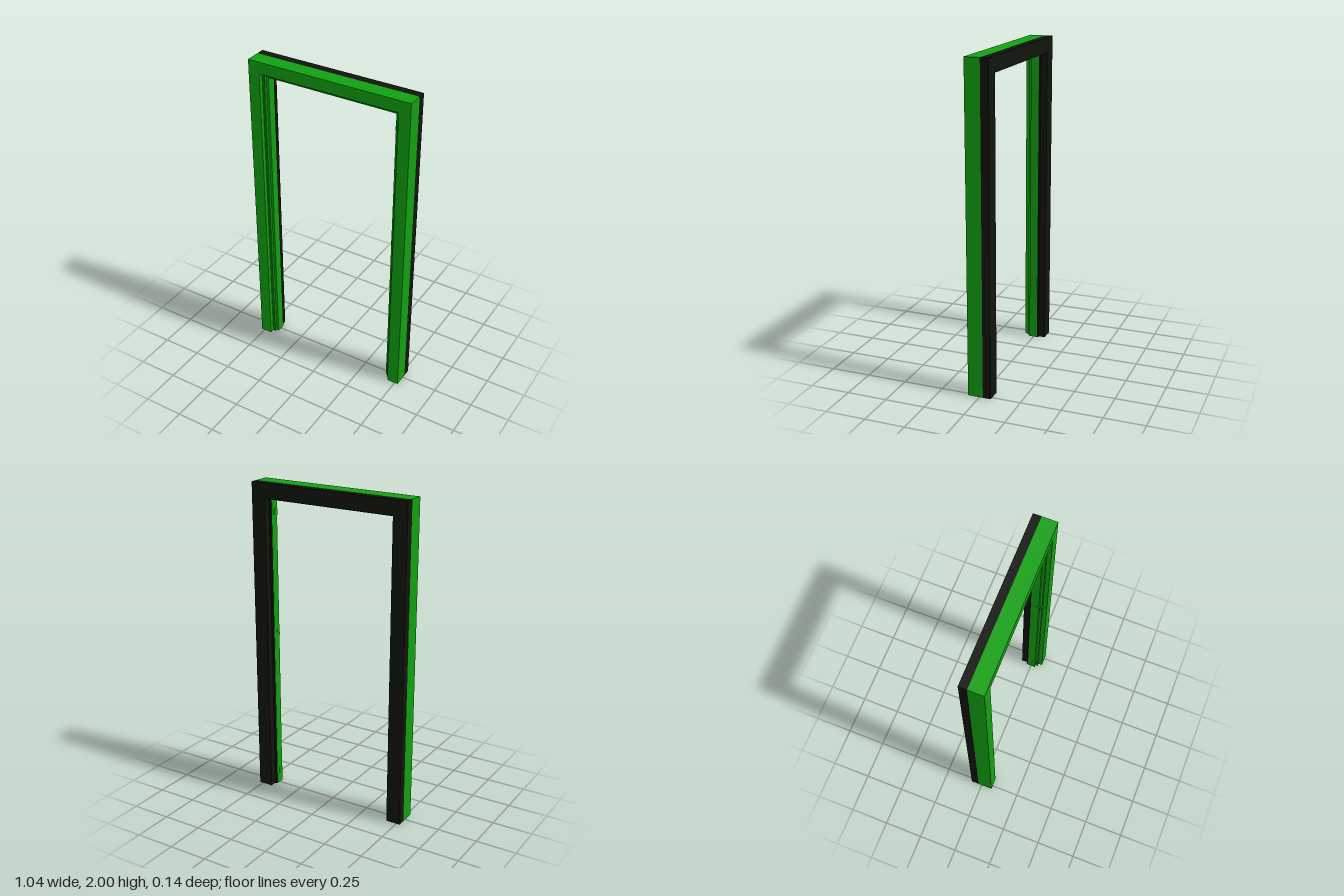
import * as THREE from 'three';

const HALF = 0.522, TOP = 2;

// Sweep a [depth z, inset from the outer edge] profile up, across and down the doorway with mitred corners
function sweepFrame(name, profile, material) {
  const shape = new THREE.Shape(profile.map(([z, w]) => new THREE.Vector2(z, w)));
  const geometry = new THREE.ExtrudeGeometry(shape, { depth: 3, steps: 3, bevelEnabled: false });
  const p = geometry.attributes.position;
  for (let i = 0; i < p.count; i++) {
    const z = p.getX(i), w = p.getY(i), station = Math.round(p.getZ(i));
    const side = station < 2 ? -1 : 1;
    const atTop = station === 1 || station === 2;
    p.setXYZ(i, side * (HALF - w), atTop ? TOP - w : 0, z);
  }
  geometry.computeVertexNormals();
  const mesh = new THREE.Mesh(geometry, material);
  mesh.name = name;
  return mesh;
}

export function createModel() {
  const group = new THREE.Group();
  group.name = 'doorFrame';
  const green = new THREE.MeshStandardMaterial({ color: 0x12a012 });
  const black = new THREE.MeshStandardMaterial({ color: 0x12140d });

  // Front casing with its stepped rebate
  group.add(sweepFrame('frontCasing', [
    [-0.022, 0], [0.072, 0], [0.072, 0.074], [0.046, 0.074], [0.046, 0.08],
    [0.04, 0.08], [0.04, 0.086], [0.046, 0.086], [0.046, 0.092],
    [0.03, 0.092], [0.03, 0.107], [-0.022, 0.107],
  ], green));

  // Rear casing, with a small lip behind the stop
  group.add(sweepFrame('rearCasing', [
    [-0.072, 0], [-0.022, 0], [-0.022, 0.105], [-0.03, 0.105],
    [-0.03, 0.092], [-0.072, 0.092],
  ], black));

  // Hinge plates and pins on the inside of the left jamb
  for (const y of [1.81, 1.04, 0.08]) {
    const hinge = new THREE.Group();
    hinge.name = 'hinge';
    const plate = new THREE.Mesh(new THREE.BoxGeometry(0.003, 0.05, 0.022), green);
    plate.name = 'hingePlate';
    plate.position.set(0.4145, 0, 0.012);
    const pin = new THREE.Mesh(new THREE.CylinderGeometry(0.004, 0.004, 0.04, 12), green);
    pin.name = 'hingePin';
    pin.position.set(0.42, 0, 0.034);
    hinge.add(plate, pin);
    hinge.position.y = y;
    group.add(hinge);
  }
  return group;
}
